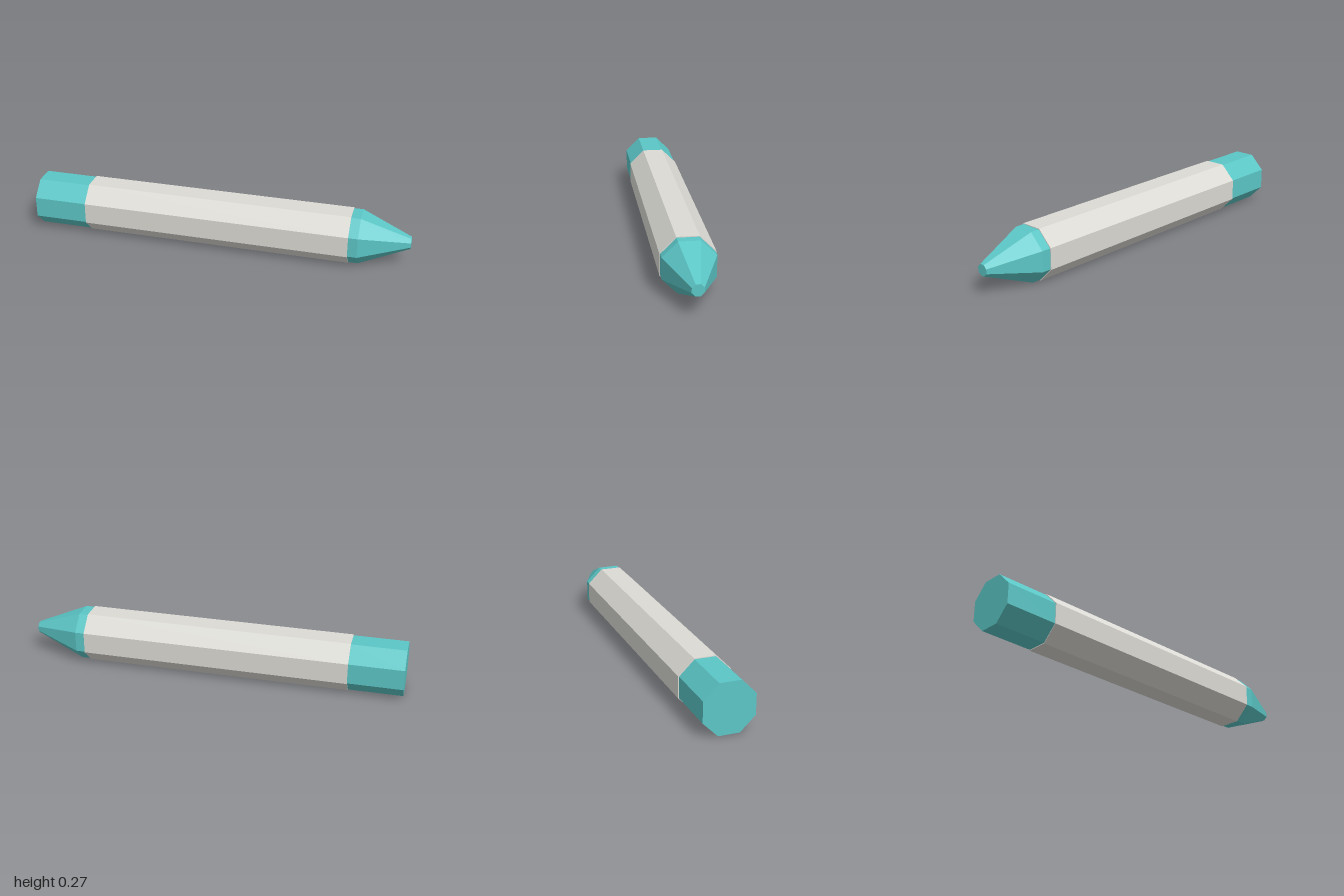
import * as THREE from 'three';

const SIDES = 8;
const CENTRE_Y = 0.134;

export function createModel() {
  const casing = new THREE.MeshStandardMaterial({ color: 0xdbdad4, flatShading: true });
  casing.name = 'pale grey';
  const accent = new THREE.MeshStandardMaterial({ color: 0x5cc6c6, flatShading: true });
  accent.name = 'teal';

  const crayon = new THREE.Group();
  crayon.name = 'crayon';

  // Octagonal prism along x; a0 and a1 are centre-to-flat distances at x0 and x1
  function prism(name, material, x0, x1, a0, a1, open = false) {
    const k = 1 / Math.cos(Math.PI / SIDES);
    const geometry = new THREE.CylinderGeometry(a1 * k, a0 * k, x1 - x0, SIDES, 1, open, Math.PI / SIDES);
    geometry.rotateZ(-Math.PI / 2);
    geometry.translate((x0 + x1) / 2, CENTRE_Y, 0);
    const mesh = new THREE.Mesh(geometry, material);
    mesh.name = name;
    crayon.add(mesh);
  }

  // Paper sleeve, slightly wider than the wax
  prism('sleeve', casing, -0.717, 0.693, 0.134, 0.134);
  // Exposed butt end
  prism('buttEnd', accent, -1, -0.717, 0.13, 0.13);
  // Short collar and tapered point
  prism('collar', accent, 0.693, 0.742, 0.13, 0.13, true);
  prism('point', accent, 0.742, 1, 0.13, 0.029);

  return crayon;
}
